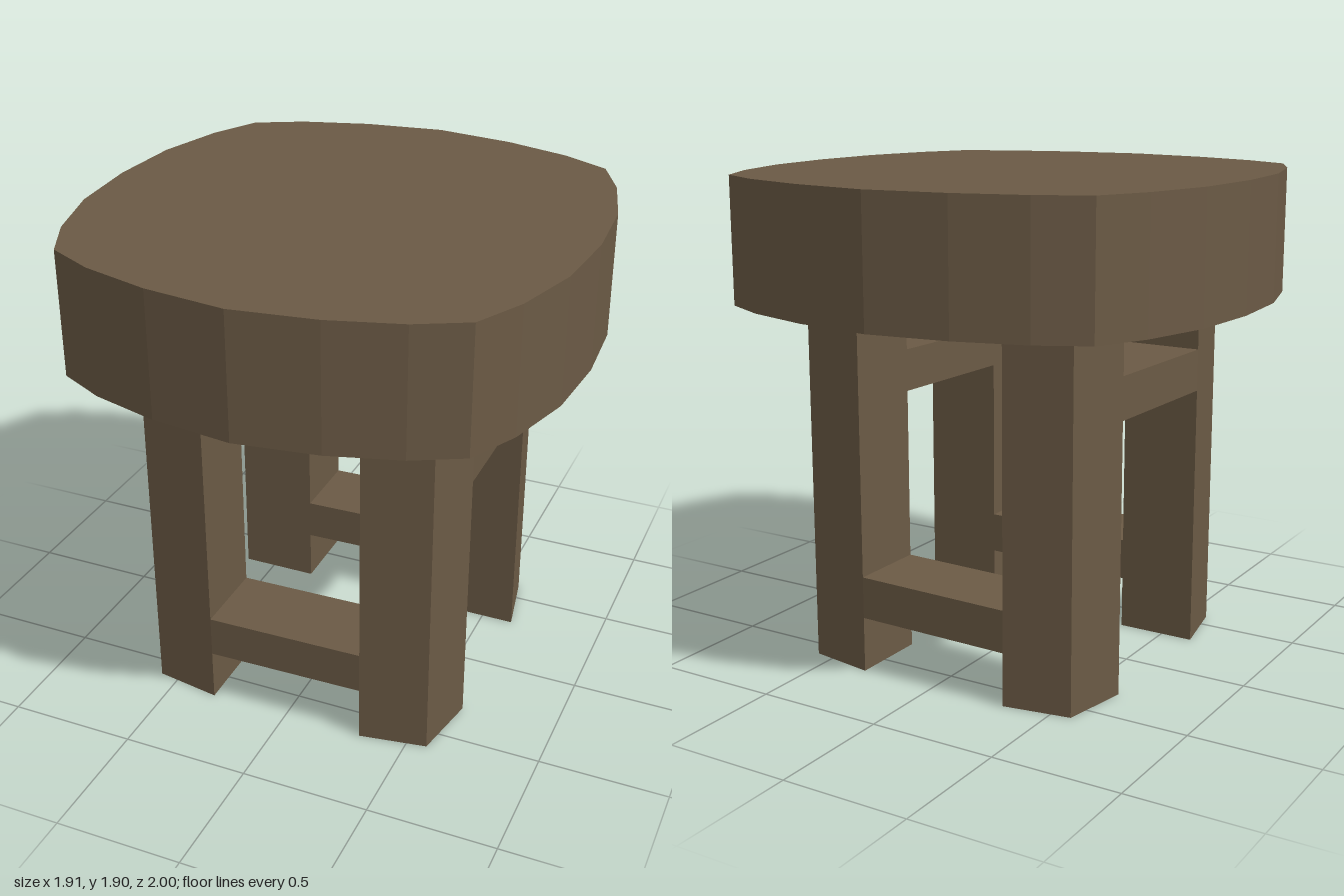
import * as THREE from 'three';

const wood = new THREE.MeshStandardMaterial({ color: 0x6b5a45 });
wood.name = 'brown wood';

// Straight-edged prism from 2D points, extruded along +z
function prism(points, depth) {
  const shape = new THREE.Shape(points.map(([x, y]) => new THREE.Vector2(x, y)));
  return new THREE.ExtrudeGeometry(shape, { depth, bevelEnabled: false });
}

// Upright prism: plan points are (x, -z), standing from y0 to y1
function upright(points, y0, y1) {
  return prism(points, y1 - y0).rotateX(-Math.PI / 2).translate(0, y0, 0);
}

function addPart(group, name, geometry) {
  const mesh = new THREE.Mesh(geometry, wood);
  mesh.name = name;
  group.add(mesh);
}

export function createModel() {
  const stool = new THREE.Group();
  stool.name = 'stool';

  const SEAT_Y = 1.42, TOP_Y = 1.905;
  const IN = 0.315, OUT = 0.63;

  // Seat: bowed square, one quarter of the outline mirrored to the rest
  const quarter = [[0.957, 0], [0.935, 0.315], [0.86, 0.59], [0.765, 0.785], [0.58, 0.88], [0.315, 0.957], [0, 1]];
  const half = [...quarter, ...quarter.slice(0, -1).reverse().map(([x, z]) => [-x, z])];
  const outline = [...half, ...half.slice(1, -1).reverse().map(([x, z]) => [x, -z])];
  addPart(stool, 'seat', upright(outline, SEAT_Y, TOP_Y));

  // Legs: square inside, drawn in slightly at the outer corner
  const leg = [[IN, IN], [OUT, IN], [0.578, 0.587], [IN, OUT]];
  for (const sx of [1, -1]) {
    for (const sz of [1, -1]) {
      const plan = leg.map(([x, z]) => [x * sx, -z * sz]);
      const name = (sz > 0 ? 'front' : 'back') + (sx > 0 ? 'Left' : 'Right') + 'Leg';
      addPart(stool, name, upright(plan, 0, SEAT_Y));
    }
  }

  // Rails: slightly sloping bars, low at front and back, high at the sides
  const rail = (y, z) => prism(
    [[-IN, y], [IN, y + 0.01], [IN, y + 0.175], [-IN, y + 0.165]], OUT - IN
  ).translate(0, 0, z);
  addPart(stool, 'frontRail', rail(0.208, IN));
  addPart(stool, 'backRail', rail(0.208, -OUT));
  addPart(stool, 'leftRail', rail(1.045, IN).rotateY(Math.PI / 2));
  addPart(stool, 'rightRail', rail(1.045, -OUT).rotateY(Math.PI / 2));

  return stool;
}
